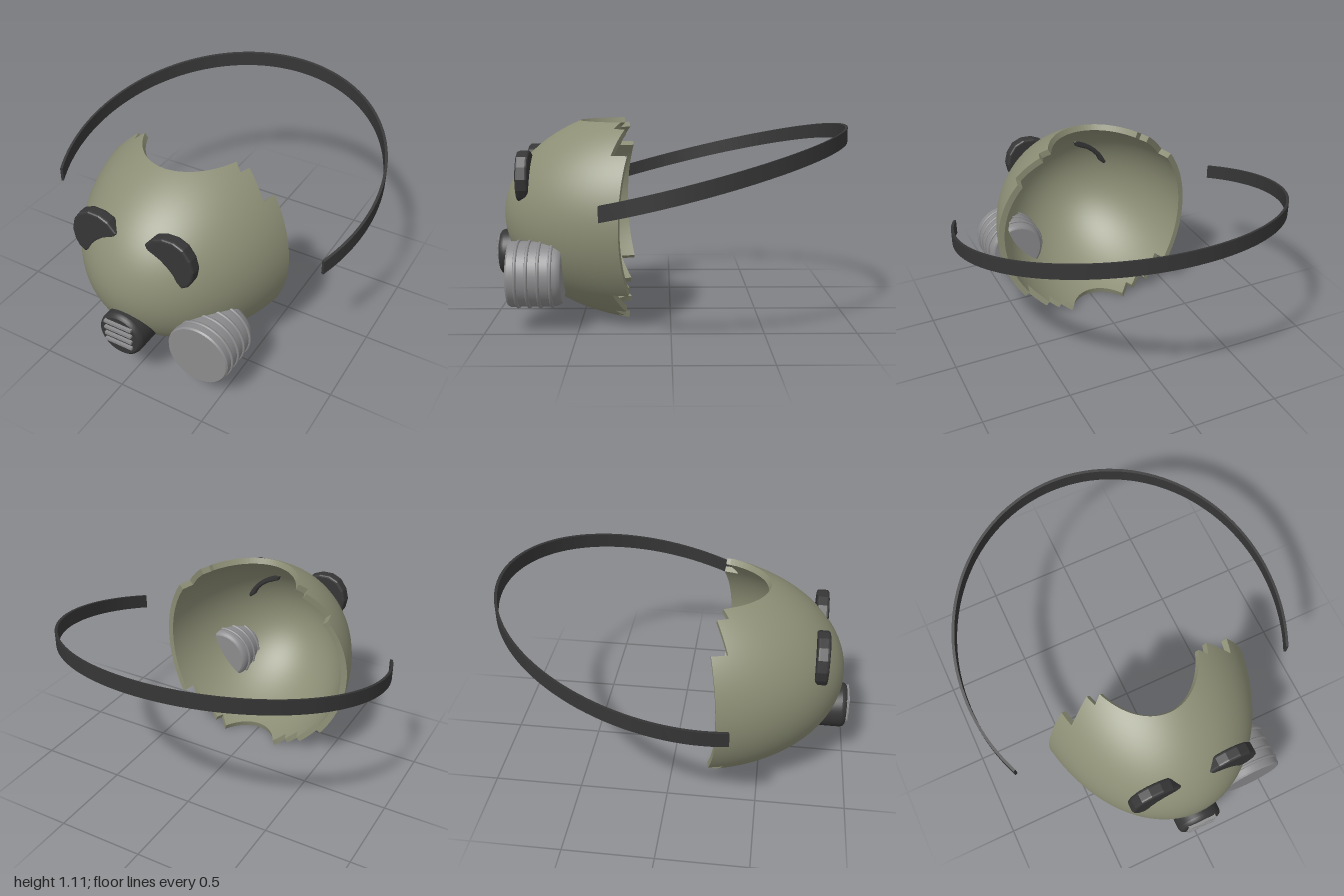
import * as THREE from 'three';

const olive = new THREE.MeshStandardMaterial({ color: 0x8c8e75 });
olive.name = 'olive shell';
const dark = new THREE.MeshStandardMaterial({ color: 0x363636 });
dark.name = 'dark rubber';
const grey = new THREE.MeshStandardMaterial({ color: 0x8b8b8d });
grey.name = 'grey metal';

const RAD = Math.PI / 180;
const CENTRE = new THREE.Vector3(0, 0.578, 0.05);
const RADII = new THREE.Vector3(0.628, 0.62, 0.9);
const WALL = 0.035;

function mesh(name, geometry, material) {
  const m = new THREE.Mesh(geometry, material);
  m.name = name;
  return m;
}

// Shell: a thick ellipsoid wall, open at top, bottom and back, with a stepped back edge
function shellGeometry() {
  // [polar angle where the band ends, grid columns cut away from each side]
  const bands = [[36, 4, 2], [53.1, 2, 5], [127.6, 0, 22], [144, 2, 5], [152, 4, 3], [159.5, 6, 3]];
  const rows = [30.7], cuts = [];
  for (const [end, cut, count] of bands) {
    const start = rows[rows.length - 1];
    for (let i = 1; i <= count; i++) {
      rows.push(start + (end - start) * i / count);
      cuts.push(cut);
    }
  }
  const COLS = 42, pos = [], nor = [];
  const point = (r, c) => {
    const t = rows[r] * RAD, p = (14.4 + 3.6 * c) * RAD;
    const unit = new THREE.Vector3(Math.sin(t) * Math.cos(p), Math.cos(t), Math.sin(t) * Math.sin(p));
    const n = unit.clone().divide(RADII).normalize();
    const outer = unit.multiply(RADII).add(CENTRE);
    return { outer, inner: outer.clone().addScaledVector(n, -WALL), n, back: n.clone().negate() };
  };
  const quad = (verts, normals) => {
    for (const i of [0, 1, 2, 0, 2, 3]) {
      pos.push(...verts[i].toArray());
      nor.push(...normals[i].toArray());
    }
  };
  const filled = (r, c) => r >= 0 && r < cuts.length && c >= cuts[r] && c < COLS - cuts[r];
  const rim = (a, b) => {
    const n = b.outer.clone().sub(a.outer).cross(a.inner.clone().sub(a.outer)).normalize().negate();
    quad([b.outer, a.outer, a.inner, b.inner], [n, n, n, n]);
  };
  for (let r = 0; r < cuts.length; r++) {
    for (let c = 0; c < COLS; c++) {
      if (!filled(r, c)) continue;
      const k = [point(r, c), point(r, c + 1), point(r + 1, c + 1), point(r + 1, c)];
      quad(k.map(q => q.outer), k.map(q => q.n));
      const rev = [...k].reverse();
      quad(rev.map(q => q.inner), rev.map(q => q.back));
      if (!filled(r - 1, c)) rim(k[0], k[1]);
      if (!filled(r, c + 1)) rim(k[1], k[2]);
      if (!filled(r + 1, c)) rim(k[2], k[3]);
      if (!filled(r, c - 1)) rim(k[3], k[0]);
    }
  }
  const g = new THREE.BufferGeometry();
  g.setAttribute('position', new THREE.Float32BufferAttribute(pos, 3));
  g.setAttribute('normal', new THREE.Float32BufferAttribute(nor, 3));
  return g;
}

// Head strap: a flat elliptical band, rising towards the back
function strapGeometry() {
  const shape = new THREE.Shape();
  const START = 25 * RAD, END = -205 * RAD, N = 80;
  const ring = (inset, from, to) => {
    for (let i = 0; i <= N; i++) {
      const a = from + (to - from) * i / N;
      const x = (0.925 - inset) * Math.cos(a), z = -0.045 + (0.953 - inset) * Math.sin(a);
      if (inset === 0 && i === 0) shape.moveTo(x, -z);
      else shape.lineTo(x, -z);
    }
  };
  ring(0, START, END);
  ring(0.015, END, START);
  const g = new THREE.ExtrudeGeometry(shape, { depth: 0.083, bevelEnabled: false });
  g.rotateX(-Math.PI / 2);
  const p = g.attributes.position;
  for (let i = 0; i < p.count; i++) p.setY(i, p.getY(i) + 0.66 + 0.253 * (0.36 - p.getZ(i)));
  g.computeVertexNormals();
  return g;
}

// Eye piece: a bevelled bean-shaped plate, mirrored by side
function eyeGeometry(side) {
  const outline = [
    [0.1, 0.875], [0.14, 0.918], [0.19, 0.939], [0.25, 0.941], [0.3, 0.919], [0.335, 0.87],
    [0.35, 0.81], [0.34, 0.755], [0.32, 0.72], [0.295, 0.703], [0.272, 0.722], [0.255, 0.757],
    [0.22, 0.795], [0.18, 0.825], [0.14, 0.842], [0.108, 0.857],
  ].map(([x, y]) => new THREE.Vector2(x * side, y));
  const g = new THREE.ExtrudeGeometry(new THREE.Shape(outline), {
    depth: 0.04, bevelThickness: 0.015, bevelSize: 0.014, bevelSegments: 3,
  });
  return g.translate(0, 0, 0.785);
}

// Turned part with its axis along z; the profile is [radius, z] from back to front
function turned(profile, segments) {
  const pts = profile.map(([r, z]) => new THREE.Vector2(r, z));
  return new THREE.LatheGeometry(pts, segments).rotateX(Math.PI / 2);
}

export function createModel() {
  const model = new THREE.Group();
  model.name = 'mask';
  model.add(mesh('shell', shellGeometry(), olive));
  model.add(mesh('headStrap', strapGeometry(), dark));
  model.add(mesh('leftEye', eyeGeometry(1), dark));
  model.add(mesh('rightEye', eyeGeometry(-1), dark));

  // Mouth valve, its back end slanted to follow the shell
  const valve = new THREE.Group();
  valve.name = 'mouthValve';
  valve.position.set(0, 0.347, 0);
  const body = turned([[0, 0.85], [0.13, 0.85], [0.13, 0.85], [0.13, 0.958], [0.13, 0.958],
    [0.125, 0.975], [0.113, 0.984], [0.113, 0.984], [0, 0.984]], 40);
  const p = body.attributes.position;
  for (let i = 0; i < p.count; i++) {
    if (p.getZ(i) < 0.9) p.setZ(i, 0.85 + 0.5 * p.getY(i));
  }
  body.computeVertexNormals();
  valve.add(mesh('valveBody', body, dark));
  for (let i = 0; i < 4; i++) {
    const bar = mesh('grilleBar' + (i + 1), new THREE.BoxGeometry(0.165, 0.015, 0.03), grey);
    bar.position.set(0, 0.078 - i * 0.041, 0.985);
    valve.add(bar);
  }
  model.add(valve);

  // Filter canister on the left cheek
  const filter = new THREE.Group();
  filter.name = 'filterCanister';
  filter.position.set(0.398, 0.305, 0);
  filter.add(mesh('canisterBody', turned([[0, 0.582], [0.15, 0.582], [0.15, 0.582], [0.163, 0.588],
    [0.172, 0.61], [0.177, 0.65], [0.177, 0.65], [0.177, 0.862], [0.177, 0.862], [0.17, 0.871],
    [0.17, 0.871], [0, 0.871]], 48), grey));
  for (const z of [0.635, 0.7, 0.76, 0.82]) {
    const ring = mesh('canisterRing', new THREE.TorusGeometry(0.177, 0.009, 8, 48), grey);
    ring.position.z = z;
    filter.add(ring);
  }
  model.add(filter);
  return model;
}
